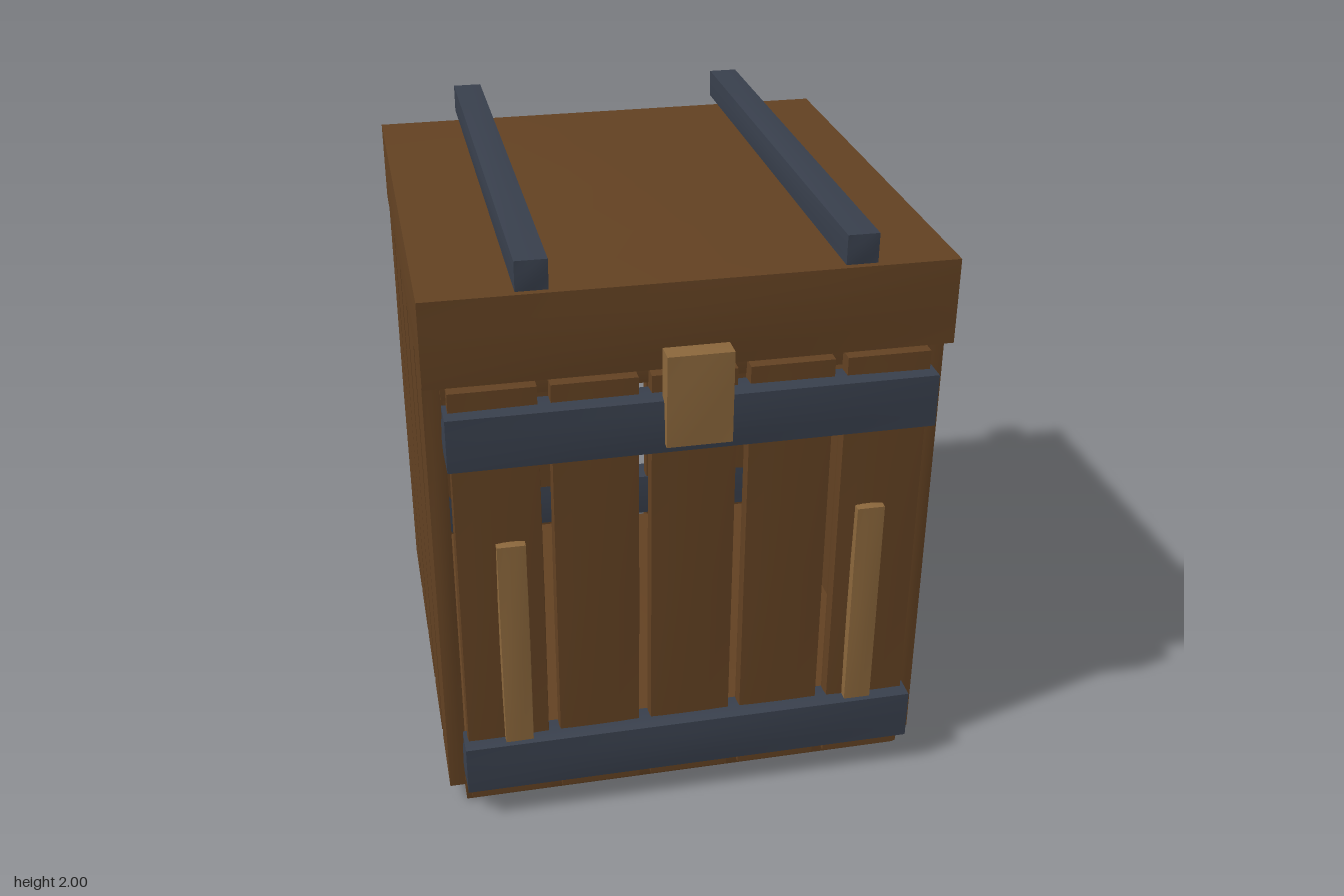
import * as THREE from 'three';

const wood = new THREE.MeshStandardMaterial({ color: 0x624122 });
wood.name = 'brown wood';
const paleWood = new THREE.MeshStandardMaterial({ color: 0x8a663b });
paleWood.name = 'pale wood';
const iron = new THREE.MeshStandardMaterial({ color: 0x383f4c });
iron.name = 'dark iron';

// Box between two corners whose faces swell slightly towards their middles
function bulgedBox(name, material, [x0, x1], [y0, y1], [z0, z1], bulge = 0.007) {
  const half = [(x1 - x0) / 2, (y1 - y0) / 2, (z1 - z0) / 2];
  const geometry = new THREE.BoxGeometry(2, 2, 2, 4, 4, 4);
  const p = geometry.attributes.position;
  for (let i = 0; i < p.count; i++) {
    const u = [p.getX(i), p.getY(i), p.getZ(i)];
    const q = u.map((v, a) => {
      const b = u[(a + 1) % 3], c = u[(a + 2) % 3];
      return v * (half[a] + bulge * (1 - b * b) * (1 - c * c));
    });
    p.setXYZ(i, ...q);
  }
  geometry.computeVertexNormals();
  const mesh = new THREE.Mesh(geometry, material);
  mesh.name = name;
  mesh.position.set((x0 + x1) / 2, (y0 + y1) / 2, (z0 + z1) / 2);
  return mesh;
}

export function createModel() {
  const crate = new THREE.Group();
  crate.name = 'crate';
  const add = (...args) => crate.add(bulgedBox(...args));
  const around = (c, w) => [c - w / 2, c + w / 2];
  const midZ = -0.01;

  // Floor and inner top panel, seen through the gaps
  add('floor', wood, [-0.757, 0.757], [0.008, 0.113], [-0.767, 0.747]);
  add('innerTop', wood, [-0.757, 0.757], [1.532, 1.625], [-0.767, 0.747], 0.004);

  // Five planks on each of the four walls
  const plankY = [0.06, 1.58];
  for (let i = -2; i <= 2; i++) {
    const span = around(i * 0.305, 0.265);
    const spanZ = span.map((v) => v + midZ);
    add('frontPlank', wood, span, plankY, [0.745, 0.802], 0.005);
    add('backPlank', wood, span, plankY, [-0.822, -0.765], 0.005);
    add('leftPlank', wood, [0.75, 0.81], plankY, spanZ, 0.005);
    add('rightPlank', wood, [-0.81, -0.75], plankY, spanZ, 0.005);
  }

  // Lid
  add('lid', wood, [-0.812, 0.812], [1.6, 1.877], [-0.826, 0.802], 0.009);

  // Iron bands across the front and back
  for (const y of [0.21, 1.43]) {
    add('frontBand', iron, [-0.757, 0.757], around(y, 0.175), [0.747, 0.85]);
    add('backBand', iron, [-0.757, 0.757], around(y, 0.175), [-0.873, -0.763]);
  }

  // Iron bars above the lid and pale strips on the front
  for (const side of [-1, 1]) {
    add('lidBar', iron, around(side * 0.487, 0.097), [1.903, 1.996], [-0.865, 0.838], 0.004);
    add('frontStrip', paleWood, around(side * 0.577, 0.09), [0.26, 1.053], [0.79, 0.832], 0.004);
  }

  // Latch
  add('latch', paleWood, [-0.102, 0.102], [1.372, 1.673], [0.808, 0.876], 0.004);

  return crate;
}
